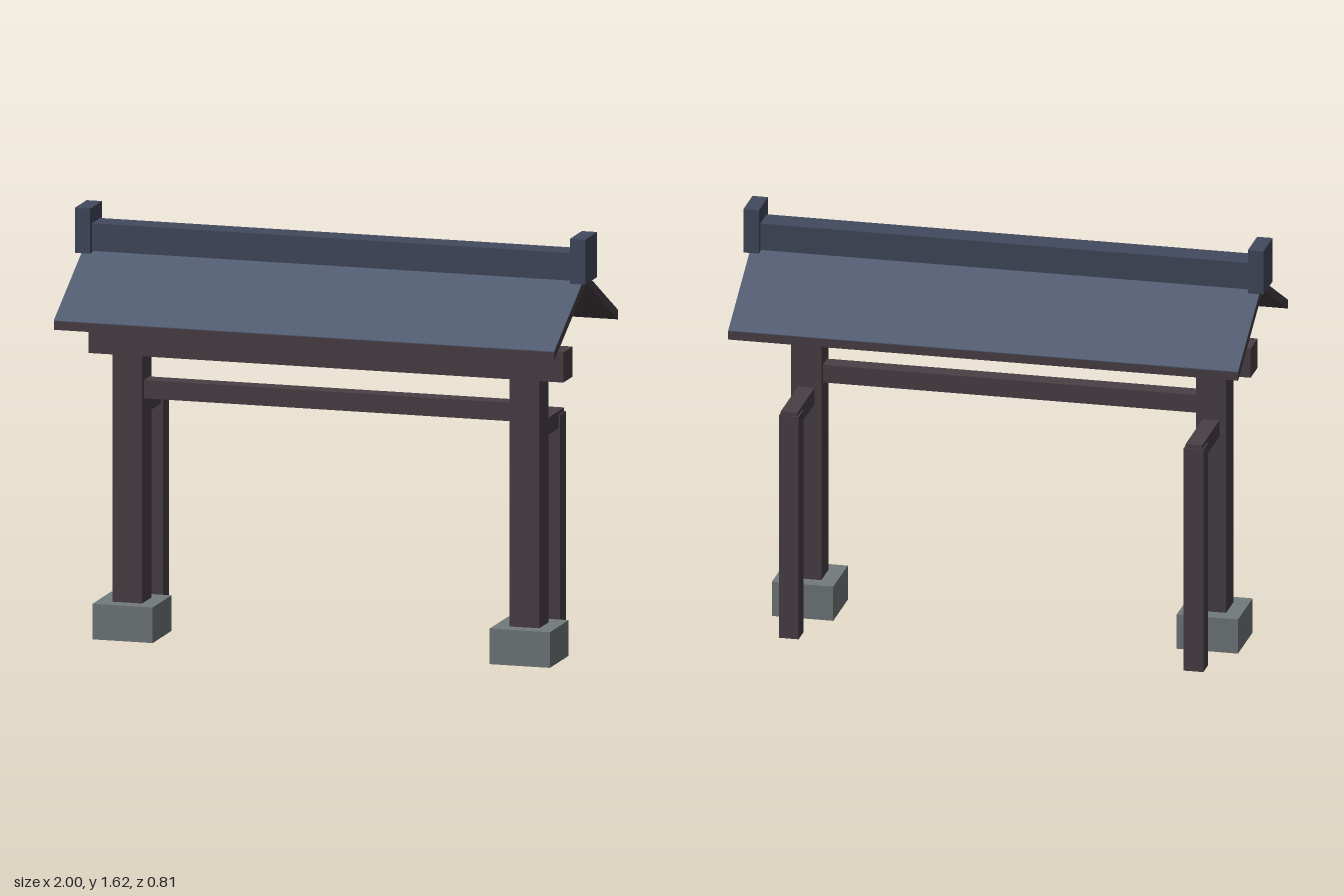
import * as THREE from 'three';

const mat = (color) => new THREE.MeshStandardMaterial({ color, flatShading: true });

export function createModel() {
  const gate = new THREE.Group();
  gate.name = 'roofedGate';
  const wood = mat(0x4a4046);
  const slate = mat(0x535d73);
  const ridgeSlate = mat(0x434a5e);
  const stone = mat(0x737a7c);

  // Box given by its lower and upper bounds on each axis
  const box = (name, material, [x0, x1], [y0, y1], [z0, z1]) => {
    const mesh = new THREE.Mesh(new THREE.BoxGeometry(x1 - x0, y1 - y0, z1 - z0), material);
    mesh.position.set((x0 + x1) / 2, (y0 + y1) / 2, (z0 + z1) / 2);
    mesh.name = name;
    gate.add(mesh);
  };
  // Same box on the left (+x) and right (-x) sides
  const pair = (name, material, [x0, x1], y, z) => {
    box(name + 'Left', material, [x0, x1], y, z);
    box(name + 'Right', material, [-x1, -x0], y, z);
  };

  // Stone footings, main posts, and rear support posts with their ties
  pair('footing', stone, [0.66, 0.896], [0, 0.136], [-0.05, 0.187]);
  pair('mainPost', wood, [0.72, 0.836], [0, 1.22], [0.01, 0.128]);
  pair('rearPost', wood, [0.74, 0.816], [0, 0.885], [-0.276, -0.198]);
  pair('rearTie', wood, [0.746, 0.81], [0.835, 0.9], [-0.27, 0.01]);

  // Crossbeams between the posts
  box('lintel', wood, [-0.93, 0.93], [1.08, 1.195], [0.011, 0.127]);
  box('lowerRail', wood, [-0.73, 0.73], [0.915, 0.985], [0.034, 0.104]);

  // Gabled slab running along x, from its underside and top lines
  const gable = (name, material, halfLength, eaveZ, underPeak, underEave, topPeak, topEave) => {
    const shape = new THREE.Shape([
      [0, underPeak], [eaveZ, underEave], [eaveZ, topEave],
      [0, topPeak], [-eaveZ, topEave], [-eaveZ, underEave],
    ].map(([z, y]) => new THREE.Vector2(z, y)));
    const geometry = new THREE.ExtrudeGeometry(shape, { depth: halfLength * 2, bevelEnabled: false });
    geometry.translate(0, 0, -halfLength).rotateY(Math.PI / 2);
    const mesh = new THREE.Mesh(geometry, material);
    mesh.name = name;
    gate.add(mesh);
  };
  gable('roofDeck', wood, 0.98, 0.405, 1.437, 1.22, 1.472, 1.253);
  gable('roofCovering', slate, 0.98, 0.405, 1.472, 1.253, 1.475, 1.256);

  // Ridge beam and its end blocks
  box('ridgeBeam', ridgeSlate, [-0.97, 0.97], [1.455, 1.56], [-0.052, 0.052]);
  pair('ridgeEnd', ridgeSlate, [0.94, 1], [1.448, 1.62], [-0.075, 0.075]);

  return gate;
}
